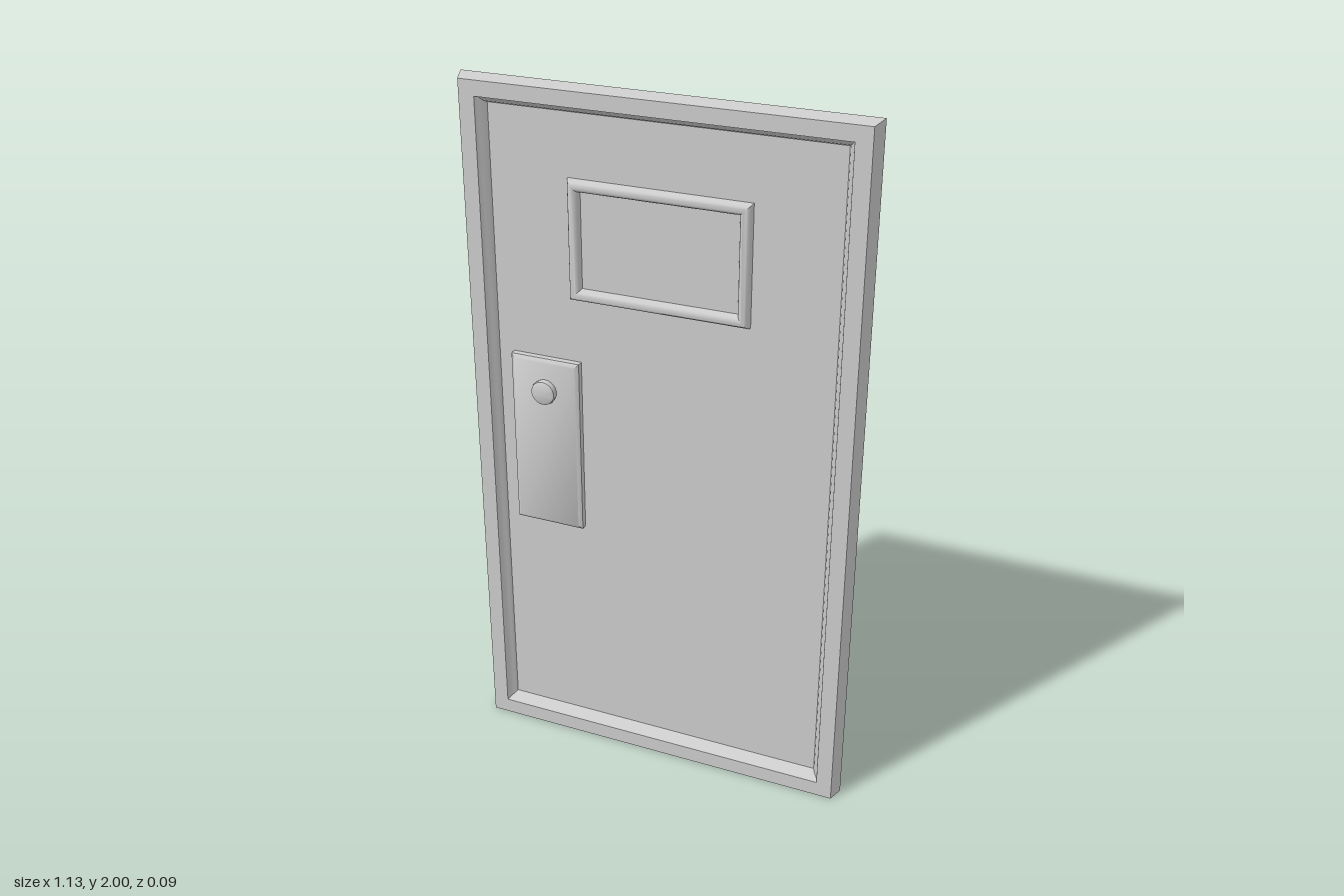
import * as THREE from 'three';
import { toCreasedNormals } from 'three/addons/utils/BufferGeometryUtils.js';

const material = new THREE.MeshStandardMaterial({ color: 0xcccccc, side: THREE.DoubleSide });

// One rectangular loop, as corners counterclockwise from bottom left
const rect = (x0, x1, y0, y1, z) => [[x0, y0, z], [x1, y0, z], [x1, y1, z], [x0, y1, z]];

// Rectangle shrunk by each [inset, z] of a profile
const insetLoops = (x0, x1, y0, y1, profile) =>
  profile.map(([d, z]) => rect(x0 + d, x1 - d, y0 + d, y1 - d, z));

// Mitred moulding through loops listed from the outside in
function moulding(name, loops, { sides = [0, 1, 2, 3], cap = false } = {}) {
  const pos = [];
  const quad = (a, b, c, d) => pos.push(...a, ...b, ...c, ...a, ...c, ...d);
  for (let k = 0; k < loops.length - 1; k++) {
    const a = loops[k], b = loops[k + 1];
    for (const i of sides) {
      const j = (i + 1) % 4;
      quad(a[i], a[j], b[j], b[i]);
    }
  }
  if (cap) quad(...loops[loops.length - 1]);
  const geo = new THREE.BufferGeometry();
  geo.setAttribute('position', new THREE.Float32BufferAttribute(pos, 3));
  const mesh = new THREE.Mesh(toCreasedNormals(geo, 0.7), material);
  mesh.name = name;
  return mesh;
}

export function createModel() {
  const door = new THREE.Group();
  door.name = 'door';
  const panelZ = -0.008;

  // Flared outer casing, open at the back and the bottom
  door.add(moulding('frameCasing', [
    rect(-0.565, 0.565, 0, 2, -0.02),
    rect(-0.55, 0.55, 0, 1.99, 0.025),
  ], { sides: [1, 2, 3] }));

  // Flat front of the frame
  door.add(moulding('frameFront', [
    rect(-0.55, 0.55, 0, 1.99, 0.025),
    rect(-0.505, 0.505, 0.045, 1.948, 0.025),
  ]));

  // Sloping trim inside the opening, with a return behind it
  door.add(moulding('frameTrim', insetLoops(-0.505, 0.505, 0.045, 1.948, [
    [0, -0.027], [0, 0.025], [0.004, 0.012], [0.015, 0.002], [0.02, panelZ],
  ])));

  // Door leaf
  const leaf = new THREE.Mesh(new THREE.BoxGeometry(1, 1.895, 0.037), material);
  leaf.name = 'doorLeaf';
  leaf.position.set(0, 0.9955, panelZ - 0.0185);
  door.add(leaf);

  // Rounded window surround
  const bead = [];
  for (let i = 0; i <= 10; i++) {
    const t = (i / 10) * Math.PI;
    bead.push([0.017 * (1 - Math.cos(t)), panelZ + 0.022 * Math.sin(t)]);
  }
  door.add(moulding('windowSurround', insetLoops(-0.26, 0.25, 1.42, 1.755, bead)));

  // Lock plate with bevelled edges
  door.add(moulding('lockPlate', insetLoops(-0.44, -0.235, 0.72, 1.237, [
    [0, panelZ], [0, 0.01], [0.01, 0.018],
  ]), { cap: true }));

  // Round knob
  const profile = [[0.034, 0], [0.036, 0.014], [0.034, 0.02], [0.026, 0.024], [0, 0.024]]
    .map(([r, h]) => new THREE.Vector2(r, h));
  const knobGeo = toCreasedNormals(new THREE.LatheGeometry(profile, 24), 0.6);
  const knob = new THREE.Mesh(knobGeo, material);
  knob.name = 'knob';
  knob.rotation.x = Math.PI / 2;
  knob.position.set(-0.335, 1.143, 0.016);
  door.add(knob);

  return door;
}
